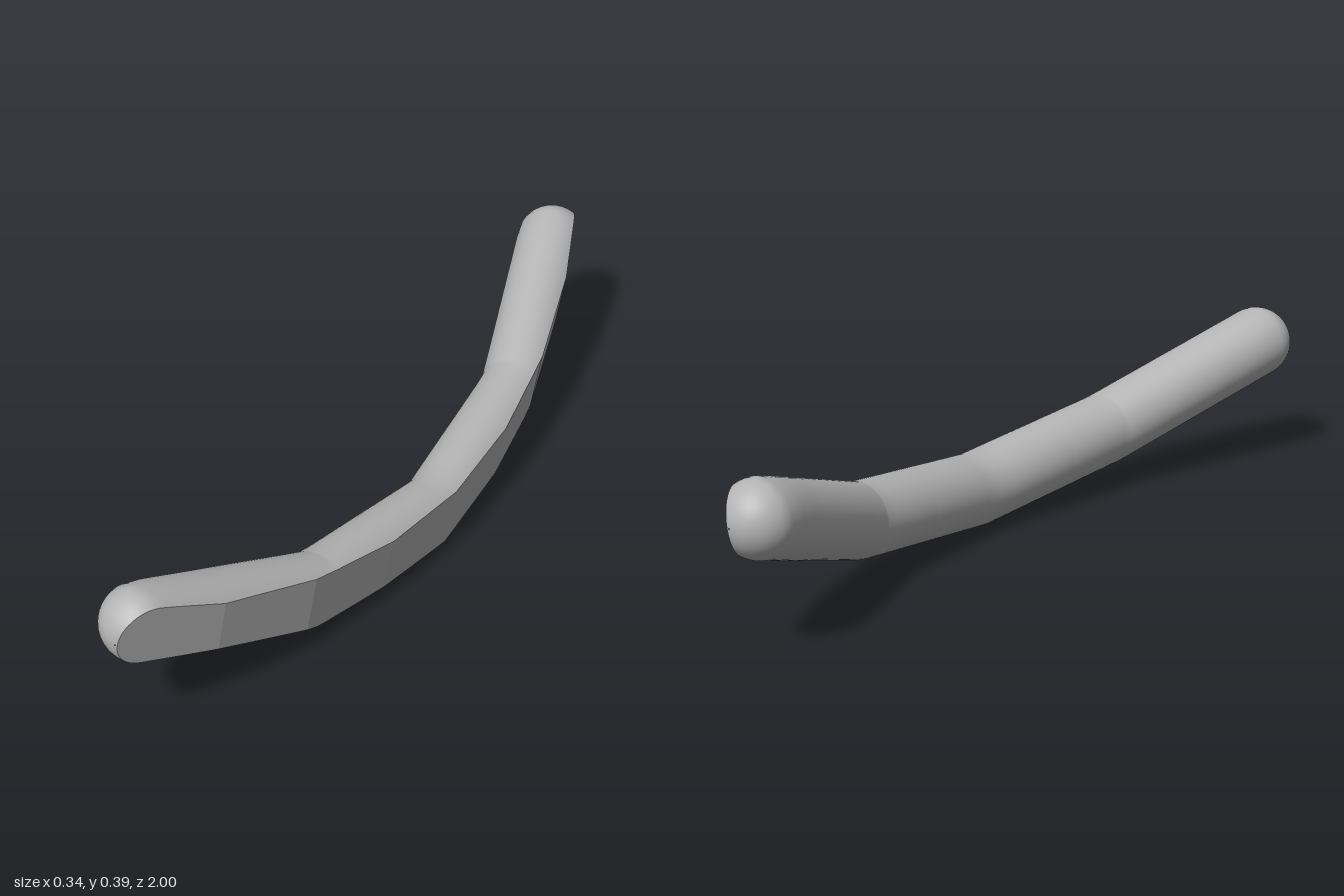
import * as THREE from 'three';

const RADIUS = 0.09;
// Half of the spine, from the middle to the rounded tip (mirrored in z)
const SPINE = [[0.115, 0.093, 0], [0.07, 0.147, 0.46], [-0.08, 0.307, 0.91]]
  .map((p) => new THREE.Vector3(...p));
const SEGMENTS = [new THREE.Line3(SPINE[0], SPINE[1]), new THREE.Line3(SPINE[1], SPINE[2])];
// The outer face is a faceted arc of radius 2 with 7.5 degree facets, leaning slightly
const FACETS = [0, 1, 2, 3, 4, 5].map((k) => {
  const a = THREE.MathUtils.degToRad(7.5 * k);
  return [2 * Math.sin(a), 2 * (Math.cos(a) - 1)];
});
const LEAN = 0.182;
const FACE_X = 0.138;
const FACE_ANGLE = Math.atan2(-LEAN, 1);

function bisect(inside, lo, hi) {
  for (let i = 0; i < 32; i++) {
    const mid = (lo + hi) / 2;
    if (inside(mid)) lo = mid; else hi = mid;
  }
  return lo;
}

// Spine point at a given z, held at the tip beyond the last spine point
function spineAt(z) {
  const a = Math.min(Math.abs(z), SPINE[2].z);
  const i = a < SPINE[1].z ? 0 : 1;
  const t = (a - SPINE[i].z) / (SPINE[i + 1].z - SPINE[i].z);
  return SPINE[i].clone().lerp(SPINE[i + 1], t);
}

// Distance from the spine point to the round skin in the plane of constant z
const probe = new THREE.Vector3();
const near = new THREE.Vector3();
function roundReach(c, z, angle) {
  return bisect((t) => {
    probe.set(c.x + t * Math.cos(angle), c.y + t * Math.sin(angle), Math.abs(z));
    return SEGMENTS.some((s) => s.closestPointToPoint(probe, true, near).distanceTo(probe) < RADIUS);
  }, 0, 0.25);
}

// Distance from the spine point to the outer face, square to the face
function faceDepth(c, z) {
  const a = Math.abs(z);
  const k = FACETS.findIndex((f) => f[0] > a);
  const [z0, s0] = FACETS[k - 1];
  const [z1, s1] = FACETS[k];
  const shift = s0 + (s1 - s0) * (a - z0) / (z1 - z0);
  return (FACE_X + LEAN * c.y + shift - c.x) * Math.cos(FACE_ANGLE);
}

// One row of points for the round skin and one for the flat face
function section(z, sides) {
  const c = spineAt(z);
  const depth = faceDepth(c, z);
  const corner = (sign) => bisect(
    (a) => roundReach(c, z, FACE_ANGLE + sign * a) * Math.cos(a) > depth, 0, 1.55);
  const start = FACE_ANGLE + corner(1);
  const end = FACE_ANGLE + 2 * Math.PI - corner(-1);
  const skin = [];
  for (let i = 0; i <= sides; i++) {
    const a = start + (end - start) * i / sides;
    const r = roundReach(c, z, a);
    skin.push([c.x + r * Math.cos(a), c.y + r * Math.sin(a), z]);
  }
  return { skin, flat: [skin[sides], skin[0]] };
}

// Joins equal rows of points into a surface
function loft(rows) {
  const n = rows[0].length;
  const index = [];
  for (let i = 0; i < rows.length - 1; i++) {
    for (let j = 0; j < n - 1; j++) {
      const a = i * n + j;
      index.push(a, a + 1, a + n, a + 1, a + n + 1, a + n);
    }
  }
  const g = new THREE.BufferGeometry();
  g.setAttribute('position', new THREE.Float32BufferAttribute(rows.flat(2), 3));
  g.setIndex(index);
  return g;
}

export function createModel() {
  const group = new THREE.Group();
  group.name = 'curvedHandle';
  const grey = new THREE.MeshStandardMaterial({ color: 0xb4b4b4 });
  grey.name = 'grey';

  // Stations along z: even steps, facet edges, the bend and the rounded tip
  const half = [0.44, 0.46, 0.48];
  for (let i = 0; i <= 18; i++) half.push(i * 0.05);
  FACETS.slice(1, 4).forEach((f) => half.push(f[0]));
  for (let i = 1; i <= 16; i++) half.push(0.91 + 0.08999 * Math.sin(i / 16 * Math.PI / 2));
  const stations = [...new Set(half.flatMap((z) => (z === 0 ? [0] : [-z, z])))].sort((a, b) => a - b);
  const sections = stations.map((z) => section(z, 40));

  // Round skin, smooth
  const skin = loft(sections.map((s) => s.skin));
  skin.computeVertexNormals();
  const roundBody = new THREE.Mesh(skin, grey);
  roundBody.name = 'roundBody';

  // Faceted outer face, flat
  const flat = loft(sections.map((s) => s.flat)).toNonIndexed();
  flat.computeVertexNormals();
  const outerFace = new THREE.Mesh(flat, grey);
  outerFace.name = 'outerFace';

  group.add(roundBody, outerFace);
  return group;
}
